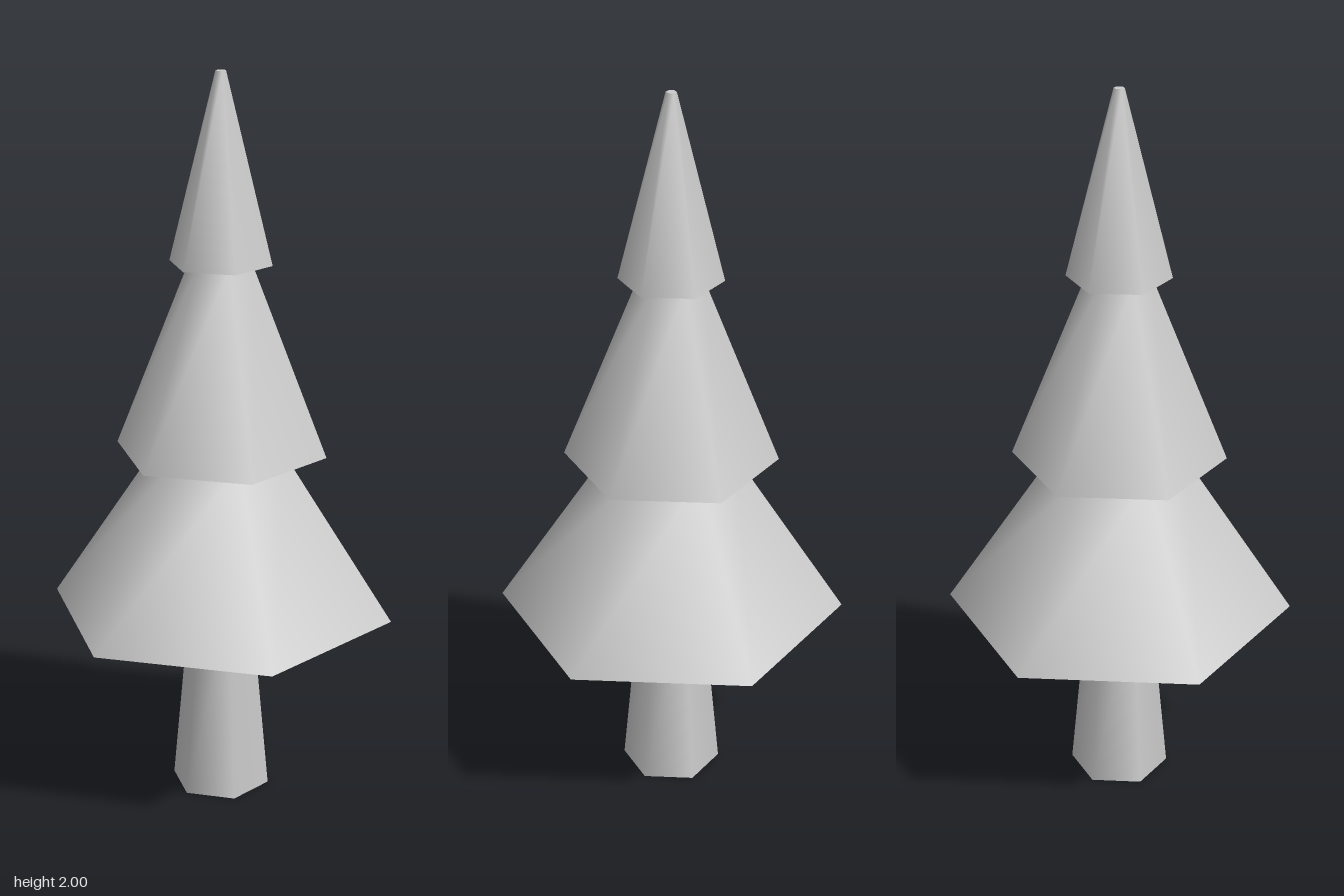
import * as THREE from 'three';

export function createModel() {
  const model = new THREE.Group();
  const grey = new THREE.MeshStandardMaterial({ color: 0xcccccc });
  grey.name = 'light grey';

  // Six-sided tapered section with corners on the x axis
  function section(name, bottomRadius, topRadius, bottomY, topY) {
    const geometry = new THREE.CylinderGeometry(
      topRadius, bottomRadius, topY - bottomY, 6, 1, false, Math.PI / 2);
    const mesh = new THREE.Mesh(geometry, grey);
    mesh.name = name;
    mesh.position.y = (bottomY + topY) / 2;
    model.add(mesh);
  }

  section('trunk', 0.137, 0.088, 0, 0.535);

  // Foliage tiers, each tucked under the one above
  section('lowerFoliage', 0.476, 0.173, 0.53, 0.99);
  section('middleFoliage', 0.29, 0.084, 0.985, 1.505);
  section('upperFoliage', 0.139, 0.014, 1.5, 2);

  return model;
}
